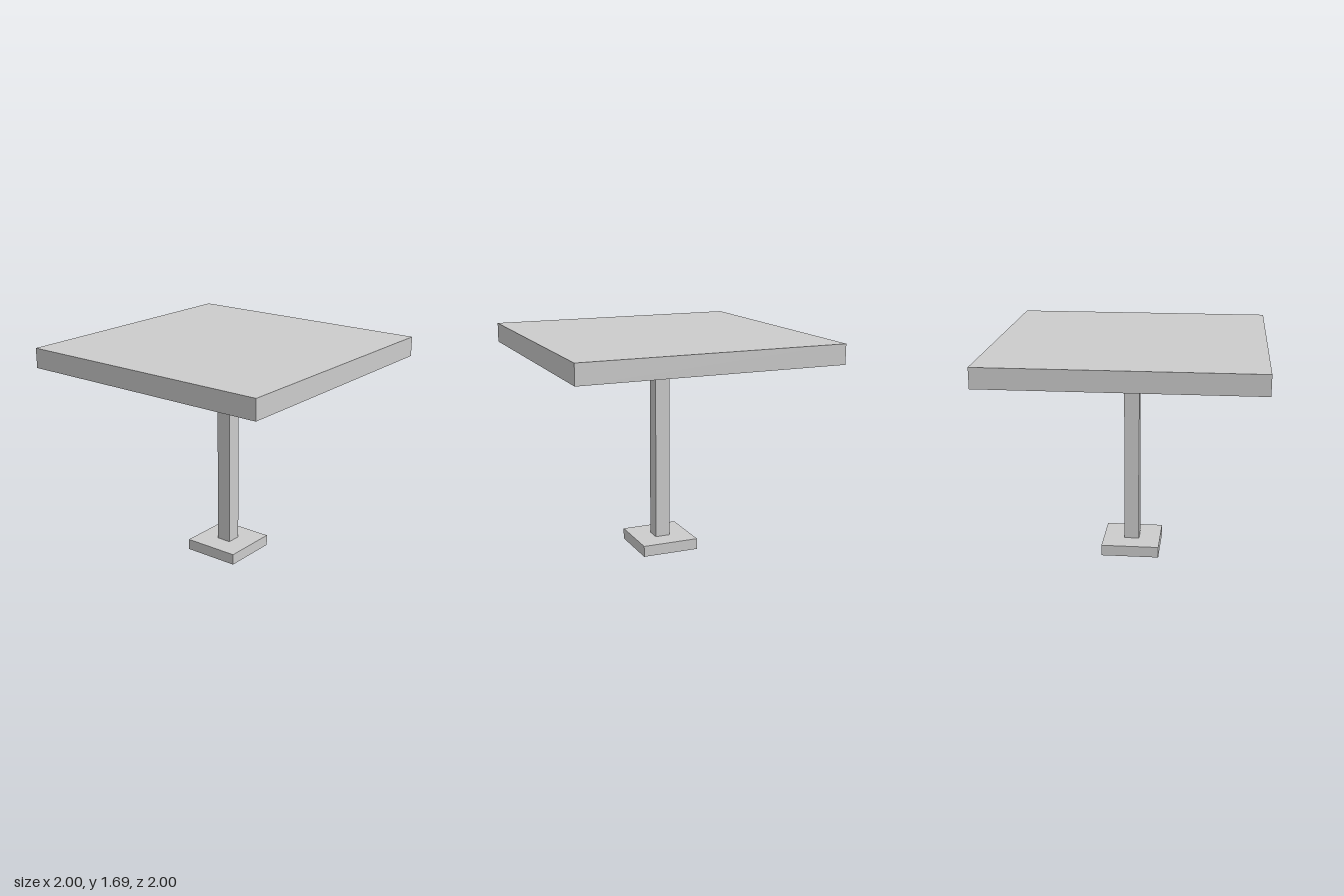
import * as THREE from 'three';

const material = new THREE.MeshStandardMaterial({ color: 0xcccccc, flatShading: true });

// Square slab of the given width, spanning the heights bottom to top
function squareBlock(name, width, bottom, top) {
  const mesh = new THREE.Mesh(new THREE.BoxGeometry(width, top - bottom, width), material);
  mesh.name = name;
  mesh.position.y = (bottom + top) / 2;
  return mesh;
}

export function createModel() {
  const table = new THREE.Group();
  table.name = 'pedestalTable';
  table.add(
    squareBlock('base', 0.445, 0, 0.085),
    squareBlock('column', 0.115, 0.085, 1.54),
    squareBlock('tableTop', 2, 1.54, 1.69),
  );
  return table;
}
